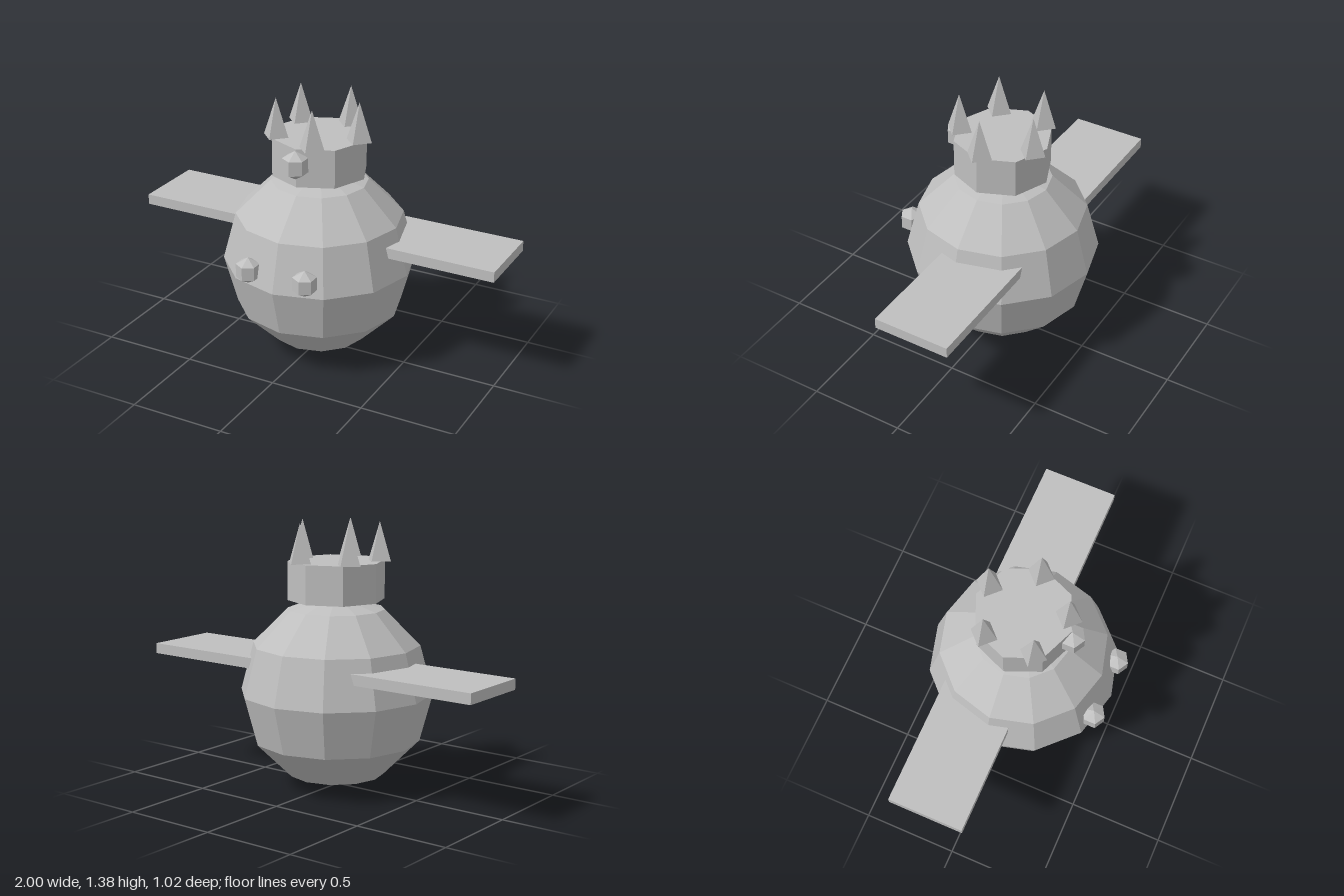
import * as THREE from 'three';

export function createModel() {
  const model = new THREE.Group();
  model.name = 'crownedBird';
  const grey = new THREE.MeshStandardMaterial({ color: 0xbfbfbf, flatShading: true });
  grey.name = 'grey';
  const zMid = -0.01; // axis of body and crown

  const add = (name, geometry, x, y, z) => {
    const mesh = new THREE.Mesh(geometry, grey);
    mesh.name = name;
    mesh.position.set(x, y, z);
    model.add(mesh);
    return mesh;
  };

  // Round faceted body
  add('body', new THREE.SphereGeometry(0.5, 12, 6), 0, 0.5, zMid);

  // Six-sided beads, with a corner facing forward
  const bead = (radius) => new THREE.SphereGeometry(radius, 6, 3).rotateY(Math.PI / 2);

  // Eyes and flat wings, mirrored
  for (const [side, s] of [['left', 1], ['right', -1]]) {
    add(side + 'Eye', bead(0.07), s * 0.16, 0.58, 0.45);
    add(side + 'Wing', new THREE.BoxGeometry(0.8, 0.055, 0.4), s * 0.6, 0.653, -0.11);
  }

  // Crown band with a jewel at the front
  add('crownBand', new THREE.CylinderGeometry(0.25, 0.25, 0.2, 8), 0, 1.08, zMid);
  add('crownJewel', bead(0.075), 0, 1.1, 0.247);

  // Five crown spikes in a ring
  for (let i = 0; i < 5; i++) {
    const a = (i / 5) * Math.PI * 2;
    add('crownSpike' + (i + 1), new THREE.ConeGeometry(0.07, 0.2, 4),
      0.22 * Math.cos(a), 1.28, zMid + 0.22 * Math.sin(a));
  }

  return model;
}
